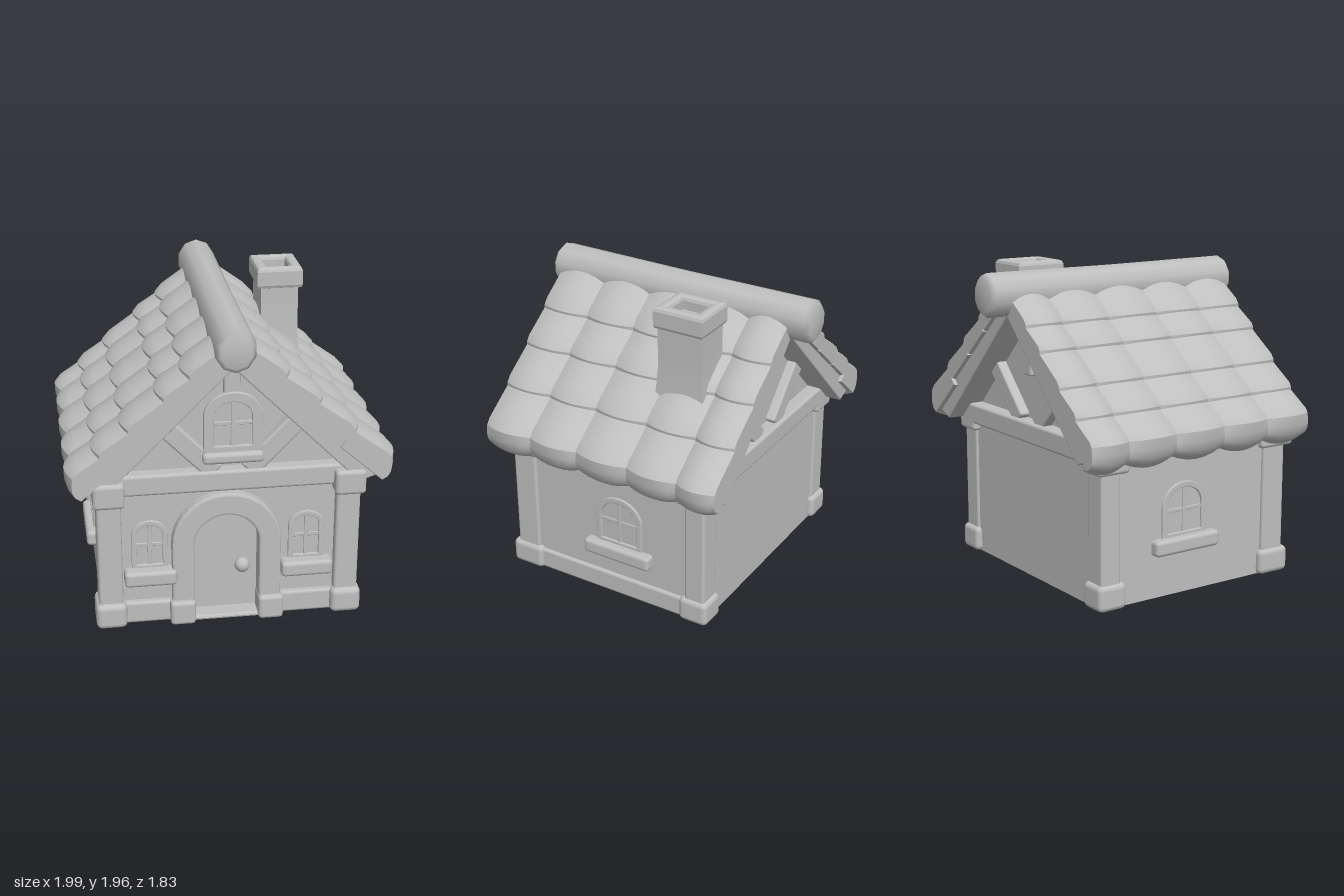
import * as THREE from 'three';
import { RoundedBoxGeometry } from 'three/addons/geometries/RoundedBoxGeometry.js';

const stone = new THREE.MeshStandardMaterial({ color: 0xbfbfbf });
stone.name = 'plainGrey';

function add(parent, name, geometry) {
  const mesh = new THREE.Mesh(geometry, stone);
  mesh.name = name;
  parent.add(mesh);
  return mesh;
}

// Softly rounded block given by its extents
function block(parent, name, x0, x1, y0, y1, z0, z1, r = 0.02) {
  const m = add(parent, name, new RoundedBoxGeometry(x1 - x0, y1 - y0, z1 - z0, 2, r));
  m.position.set((x0 + x1) / 2, (y0 + y1) / 2, (z0 + z1) / 2);
}

// Timber laid between two points of a vertical plane
function timber(parent, name, a, b, width, z, depth) {
  const dx = b[0] - a[0], dy = b[1] - a[1];
  const m = add(parent, name, new RoundedBoxGeometry(Math.hypot(dx, dy), width, depth, 2, 0.015));
  m.position.set((a[0] + b[0]) / 2, (a[1] + b[1]) / 2, z);
  m.rotation.z = Math.atan2(dy, dx);
}

// Door or window outline: upright sides and an arched top
function archPath(path, halfWidth, bottom, top, rise = halfWidth, cx = 0) {
  path.moveTo(cx - halfWidth, bottom);
  path.lineTo(cx + halfWidth, bottom);
  path.lineTo(cx + halfWidth, top - rise);
  path.absellipse(cx, top - rise, halfWidth, rise, 0, Math.PI, false);
  path.lineTo(cx - halfWidth, bottom);
  return path;
}

function extrude(shape, depth, bevel = 0) {
  return new THREE.ExtrudeGeometry(shape, {
    depth, curveSegments: 10, bevelEnabled: bevel > 0,
    bevelSize: bevel, bevelThickness: bevel, bevelSegments: 2,
  });
}

// Arched window facing +z, standing at y = 0 on its own plane
function windowUnit(name, half, height, border, sillHalf, sillDepth, sillHeight) {
  const g = new THREE.Group();
  g.name = name;
  const frame = archPath(new THREE.Shape(), half, 0, height, half * 0.85);
  frame.holes.push(archPath(new THREE.Path(), half - border, border * 0.6, height - border, (half - border) * 0.85));
  add(g, 'windowFrame', extrude(frame, 0.02, 0.006));
  add(g, 'windowPane', extrude(archPath(new THREE.Shape(), half - 0.01, 0.01, height - 0.01, half * 0.85), 0.008));
  block(g, 'windowMullion', -0.012, 0.012, 0, height - border, 0, 0.02, 0.004);
  block(g, 'windowCrossbar', -half + border, half - border, height * 0.45, height * 0.45 + 0.024, 0, 0.018, 0.004);
  block(g, 'windowSill', -sillHalf, sillHalf, -sillHeight, 0, -0.03, sillDepth, 0.025);
  return g;
}

// One bulging roof tile running down the slope from p to q; droop pushes its lower lip out
function tileGeometry(p, q, z0, z1, thick, droop) {
  const geo = new THREE.BoxGeometry(1, 1, 1, 5, 4, 8);
  const len = Math.hypot(q[0] - p[0], q[1] - p[1]);
  const dx = (q[0] - p[0]) / len, dy = (q[1] - p[1]) / len;
  const pos = geo.attributes.position;
  for (let i = 0; i < pos.count; i++) {
    const a = pos.getX(i) + 0.5, h = pos.getY(i), t = pos.getZ(i) * 2;
    const bulge = 1 - t * t;
    const lip = a > 0.9 ? 0.02 + 0.03 * bulge - 0.14 * h * h : 0;
    const along = a * len + lip + a * a * droop * (0.5 - h);
    const top = 0.02 + 0.03 * a + 0.035 * bulge - (a > 0.9 ? 0.015 : 0);
    const bottom = -thick * (0.8 + 0.2 * bulge);
    const up = bottom + (top - bottom) * (h + 0.5);
    pos.setXYZ(i, p[0] + dx * along - dy * up, p[1] + dy * along + dx * up, (z0 + z1) / 2 + t * (z1 - z0) / 2);
  }
  geo.computeVertexNormals();
  return geo;
}

function buildRoof(house) {
  const roof = new THREE.Group();
  roof.name = 'roof';
  house.add(roof);

  // Thick deck whose ends form the gable boards
  const deck = new THREE.Shape();
  [[0, 1.85], [0.9, 1.05], [0.89, 0.96], [0.77, 0.92], [0, 1.69], [-0.77, 0.92], [-0.89, 0.96], [-0.9, 1.05]]
    .forEach(([x, y], i) => (i ? deck.lineTo(x, y) : deck.moveTo(x, y)));
  add(roof, 'roofDeck', extrude(deck, 1.55, 0.01)).position.z = -0.745;

  // Overlapping rows of tiles on both slopes, the last row thick and drooping
  const columns = [-0.78, -0.52, -0.18, 0.18, 0.52, 0.85];
  const slopes = [[1, 1.86, [0.05, 0.29, 0.49, 0.71, 0.935]], [-1, 1.845, [0.05, 0.25, 0.4, 0.61, 0.78, 0.94]]];
  for (const [side, apex, rows] of slopes) {
    const slope = new THREE.Group();
    slope.name = side > 0 ? 'leftRoofSlope' : 'rightRoofSlope';
    if (side < 0) slope.rotation.y = Math.PI;
    roof.add(slope);
    const at = (x) => [x, apex - 0.88 * x];
    for (let r = 0; r < rows.length - 1; r++) {
      const last = r === rows.length - 2;
      for (let c = 0; c < 5; c++) {
        const ends = [side * columns[c], side * columns[c + 1]].sort((a, b) => a - b);
        add(slope, 'roofTile', tileGeometry(at(rows[r]), at(rows[r + 1]), ...ends, last ? 0.13 : 0.08, last ? 0.06 : 0));
      }
    }
  }

  // Ridge log with softened ends
  const profile = [[0, -0.92], [0.1, -0.92], [0.13, -0.89], [0.125, 0], [0.13, 0.88], [0.1, 0.91], [0, 0.91]]
    .map(([r, y]) => new THREE.Vector2(r, y));
  const ridge = add(roof, 'ridgeLog', new THREE.LatheGeometry(profile, 10));
  ridge.rotation.x = Math.PI / 2;
  ridge.scale.set(0.95, 1, 1.05);
  ridge.position.y = 1.815;
}

function buildChimney(house) {
  const chimney = new THREE.Group();
  chimney.name = 'chimney';
  chimney.position.set(0.445, 0, -0.315);
  house.add(chimney);

  // Shaft flaring where it meets the roof
  const shaft = new THREE.BoxGeometry(0.24, 0.62, 0.3, 1, 4, 1);
  const pos = shaft.attributes.position;
  for (let i = 0; i < pos.count; i++) {
    const k = 1 + 0.16 * Math.max(0, -pos.getY(i) / 0.31);
    pos.setX(i, pos.getX(i) * k);
    pos.setZ(i, pos.getZ(i) * k);
  }
  shaft.computeVertexNormals();
  add(chimney, 'chimneyShaft', shaft).position.y = 1.57;

  // Hollow cap
  const rect = (path, w, h) => {
    path.moveTo(-w, -h); path.lineTo(w, -h); path.lineTo(w, h); path.lineTo(-w, h); path.lineTo(-w, -h);
    return path;
  };
  const cap = rect(new THREE.Shape(), 0.122, 0.142);
  cap.holes.push(rect(new THREE.Path(), 0.1, 0.12));
  const geo = extrude(cap, 0.09, 0.024);
  geo.rotateX(-Math.PI / 2);
  add(chimney, 'chimneyCap', geo).position.y = 1.846;
}

function buildDoor(house) {
  const door = new THREE.Group();
  door.name = 'door';
  door.position.x = -0.033;
  house.add(door);
  add(door, 'doorPanel', extrude(archPath(new THREE.Shape(), 0.21, 0.01, 0.73), 0.03)).position.z = 0.645;
  const arch = archPath(new THREE.Shape(), 0.32, 0.02, 0.855);
  arch.holes.push(archPath(new THREE.Path(), 0.215, 0.02, 0.74));
  add(door, 'doorArch', extrude(arch, 0.1, 0.015)).position.z = 0.68;
  for (const s of [-1, 1]) {
    const x = s * 0.273;
    block(door, 'doorArchFoot', x - 0.078, x + 0.078, 0, 0.16, 0.66, 0.83, 0.025);
  }
  add(door, 'doorKnob', new THREE.SphereGeometry(0.048, 10, 8)).position.set(0.105, 0.34, 0.72);
}

function buildGable(house, z, out, name) {
  const g = new THREE.Group();
  g.name = name;
  house.add(g);
  const mid = z + out * 0.02;
  for (const s of [-1, 1]) timber(g, 'gableBrace', [s * 0.45, 1.36], [s * 0.1, 1.0], 0.12, mid, 0.07);
  timber(g, 'kingPost', [0, 1.3], [0, 1.72], 0.1, mid, 0.06);
  block(g, 'tieBeam', -0.75, 0.75, 0.88, 1.015, mid - 0.06, mid + 0.05);
}

export function createModel() {
  const house = new THREE.Group();
  house.name = 'cottage';

  // Walls, front skin with a door opening, and gable prism
  const body = add(house, 'wallBody', new THREE.BoxGeometry(1.56, 0.92, 1.26));
  body.position.set(-0.015, 0.465, 0.025);
  const front = new THREE.Shape();
  front.moveTo(-0.75, 0.01); front.lineTo(0.73, 0.01); front.lineTo(0.73, 0.92); front.lineTo(-0.75, 0.92);
  front.holes.push(archPath(new THREE.Path(), 0.21, 0.02, 0.73, 0.21, -0.033));
  add(house, 'frontWall', extrude(front, 0.08)).position.z = 0.65;
  const gable = new THREE.Shape();
  gable.moveTo(-0.8, 0.92); gable.lineTo(0.8, 0.92); gable.lineTo(0, 1.72);
  add(house, 'gableWall', extrude(gable, 1.26)).position.z = -0.56;

  // Corner posts with foot and head blocks
  for (const s of [-1, 1]) {
    const x = s * 0.73 - 0.015;
    for (const [z, d] of [[0.7, 0.1], [-0.55, 0.085]]) {
      block(house, 'cornerPost', x - 0.075, x + 0.075, 0.1, 0.9, z - d + 0.015, z + d - 0.015);
      block(house, 'postFoot', x - 0.095, x + 0.095, 0, 0.165, z - d - 0.01, z + d + 0.02, 0.035);
      block(house, 'postHead', x - 0.095, x + 0.095, 0.83, 0.99, z - d - 0.015, z + d + 0.04, 0.025);
    }
    // Side rails at the bottom and top of the wall
    block(house, 'sideFootRail', x - 0.05, x + 0.07, 0.005, 0.145, -0.5, 0.65);
    block(house, 'sideTopRail', x - 0.05, x + 0.07, 0.88, 0.98, -0.5, 0.65);
  }
  block(house, 'frontFootRailRight', -0.7, -0.3, 0.005, 0.15, 0.66, 0.77);
  block(house, 'frontFootRailLeft', 0.24, 0.68, 0.005, 0.15, 0.66, 0.77);

  buildGable(house, 0.71, 1, 'frontGable');
  buildGable(house, -0.57, -1, 'backGable');

  // Windows on the front, gable and both sides
  for (const [name, x] of [['frontWindowRight', -0.5], ['frontWindowLeft', 0.465]]) {
    const w = windowUnit(name, 0.105, 0.31, 0.02, 0.16, 0.1, 0.1);
    w.position.set(x, 0.38, 0.72);
    house.add(w);
  }
  const gableWindow = windowUnit('gableWindow', 0.17, 0.37, 0.05, 0.185, 0.06, 0.07);
  gableWindow.position.set(0.003, 1.14, 0.75);
  house.add(gableWindow);
  for (const s of [-1, 1]) {
    const w = windowUnit(s > 0 ? 'leftWindow' : 'rightWindow', 0.16, 0.33, 0.025, 0.24, 0.075, 0.1);
    w.rotation.y = s * Math.PI / 2;
    w.position.set(s * 0.768 - 0.015, 0.375, 0);
    house.add(w);
  }

  buildDoor(house);
  buildRoof(house);
  buildChimney(house);
  return house;
}
